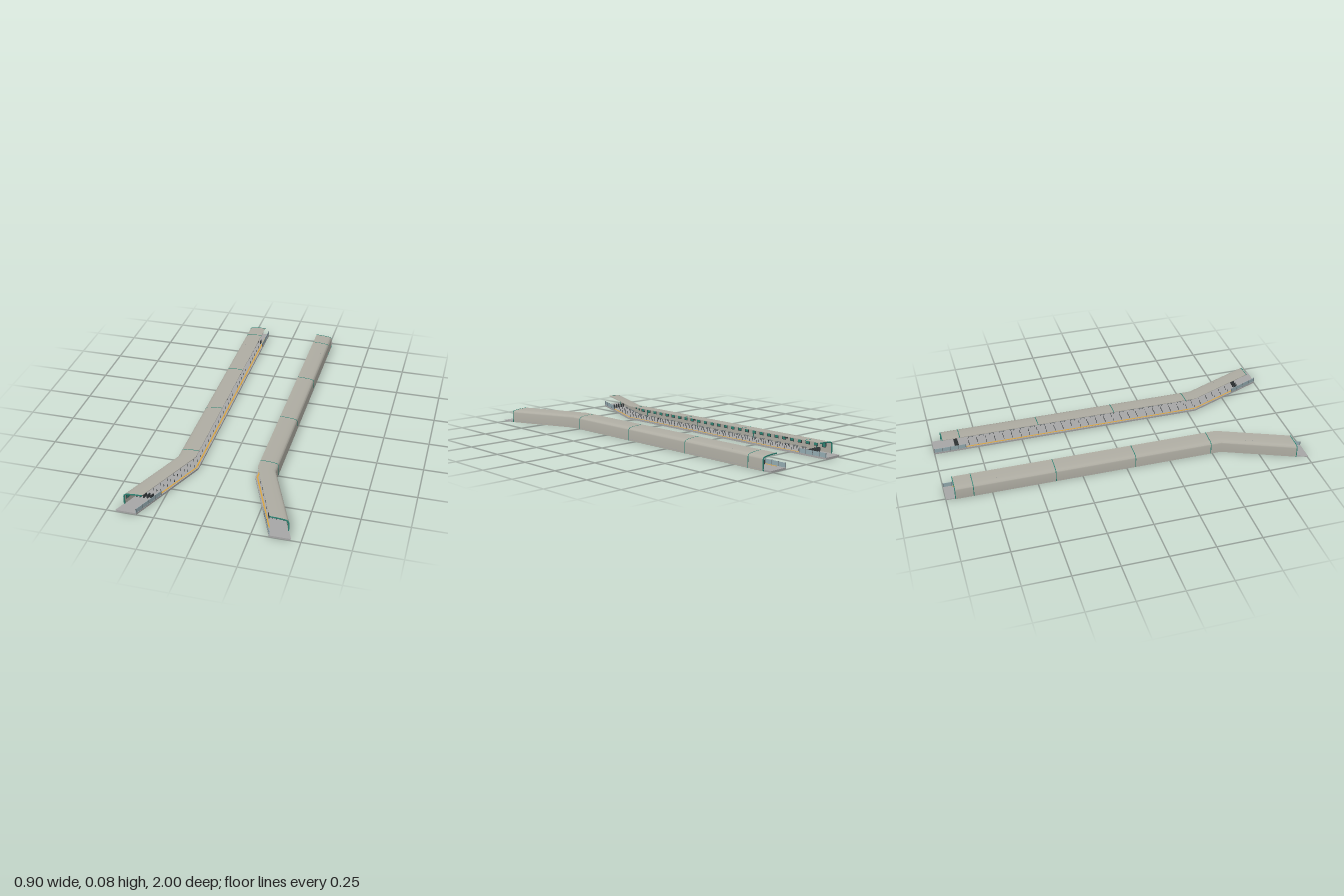
import * as THREE from 'three';
import { mergeGeometries, toCreasedNormals } from 'three/addons/utils/BufferGeometryUtils.js';

const KINK = 0.55, SLOPE = 0.411;
const COLORS = {
  concrete: 0xaeaca2, floor: 0xa6a6a6, teal: 0x2b8070, yellow: 0xd9a441,
  glass: 0x93aab0, dark: 0x33383a, steel: 0x6c7478,
};

const mat = (name, double = false) => new THREE.MeshStandardMaterial({
  color: COLORS[name], side: double ? THREE.DoubleSide : THREE.FrontSide,
});
// Sideways drift of the platform where it bends outwards
const drift = (z) => Math.max(0, z - KINK) * SLOPE;

// Follow the bend by moving every vertex sideways
function bend(geo, side) {
  const p = geo.attributes.position;
  for (let i = 0; i < p.count; i++) p.setX(i, p.getX(i) + side * drift(p.getZ(i)));
  return geo;
}

// Sweep a cross-section from z0 to z1 with a ring exactly at the kink
function sweep(points, z0, z1, side) {
  const shape = new THREE.Shape(points.map(([x, y]) => new THREE.Vector2(side * x, y)));
  const geo = new THREE.ExtrudeGeometry(shape, { depth: 1, steps: 2, bevelEnabled: false });
  const mid = z0 < KINK && z1 > KINK ? KINK : (z0 + z1) / 2;
  const p = geo.attributes.position;
  for (let i = 0; i < p.count; i++) {
    const t = p.getZ(i);
    p.setZ(i, t < 0.25 ? z0 : t < 0.75 ? mid : z1);
  }
  return toCreasedNormals(bend(geo, side), 0.5);
}

const rect = (x0, x1, y0, y1) => [[x0, y0], [x1, y0], [x1, y1], [x0, y1]];

function box(w, h, d, x, y, z, side) {
  const geo = new THREE.BoxGeometry(w, h, d).translate(side * x, y, z);
  bend(geo, side);
  geo.computeVertexNormals();
  return geo;
}

// Curved wall-and-roof section, grown outwards by g and inwards by thickness t
function canopySection(g, t) {
  const line = (o) => [
    [0.267 + o, 0.058], [0.2655 + o, 0.064], [0.2615 + o * 0.8, 0.069 + o * 0.6],
    [0.255 + o * 0.4, 0.072 + o], [0.24, 0.0745 + o], [0.205, 0.0775 + o], [0.169, 0.0785 + o],
  ];
  return [[0.267 + g, 0.001], ...line(g), ...line(-t).reverse(), [0.267 - t, 0.001]];
}

function platform(side) {
  const group = new THREE.Group();
  group.name = side > 0 ? 'leftPlatform' : 'rightPlatform';
  const add = (name, geo, color, double) => {
    const mesh = new THREE.Mesh(Array.isArray(geo) ? mergeGeometries(geo) : geo, mat(color, double));
    mesh.name = name;
    group.add(mesh);
  };

  // Slab with a thin lip along its outer edge
  add('slab', sweep([[0.156, 0], [0.26, 0], [0.26, 0.007], [0.267, 0.008], [0.267, 0.01], [0.156, 0.01]],
    -1, 1, side), 'floor');
  add('edgeStrip', sweep(rect(0.163, 0.171, 0.0095, 0.0108), -0.95, 0.94, side), 'yellow');

  // Canopy shell and its teal ribs and end frames
  add('canopy', sweep(canopySection(0, 0.003), -0.95, 0.94, side), 'concrete');
  add('canopyRibs', [-0.85, -0.4, 0.05, 0.49].map((z) =>
    sweep(canopySection(0.0004, 0.0045), z - 0.002, z + 0.002, side)), 'teal');
  add('canopyEndFrames', [-0.951, 0.937].map((z) =>
    sweep(canopySection(0.0006, 0.005), z, z + 0.004, side)), 'teal');

  // Low end screens along the track edge, with posts
  const screens = [], screenPosts = [];
  for (const [z0, z1] of [[-1, -0.82], [0.82, 1]]) {
    screens.push(sweep(rect(0.157, 0.159, 0.01, 0.034), z0, z1, side));
    for (let i = 0; i <= 4; i++) {
      const z = THREE.MathUtils.lerp(z0 + 0.002, z1 - 0.002, i / 4);
      screenPosts.push(box(0.003, 0.025, 0.003, 0.158, 0.0225, z, side));
    }
  }
  add('endScreens', screens, 'glass');
  add('endScreenPosts', screenPosts, 'steel');

  // Framed panels along the inside of the wall
  const frames = [], panes = [];
  for (let z = -0.9; z < 0.92; z += 0.055) {
    frames.push(box(0.002, 0.026, 0.027, 0.2635, 0.047, z, side));
    panes.push(box(0.002, 0.02, 0.021, 0.2628, 0.047, z, side));
  }
  add('wallPanelFrames', frames, 'dark');
  add('wallPanels', panes, 'teal');

  // Benches with two legs
  const seats = [], legs = [];
  for (let z = -0.78; z < 0.8; z += 0.06) {
    seats.push(box(0.01, 0.002, 0.032, 0.247, 0.02, z, side));
    for (const dz of [-0.011, 0.011]) legs.push(box(0.003, 0.01, 0.002, 0.247, 0.015, z + dz, side));
  }
  add('benchSeats', seats, 'steel');
  add('benchLegs', legs, 'dark');

  // Rows of slim standing posts
  const posts = [];
  for (let z = -0.8; z < 0.82; z += 0.05) {
    for (const x of [0.178, 0.198, 0.218]) posts.push(box(0.002, 0.015, 0.002, x, 0.0175, z, side));
  }
  add('platformPosts', posts, 'dark');

  // Gates across both ends
  const gates = [];
  for (const z of [-0.87, 0.86]) {
    for (let i = 0; i < 5; i++) gates.push(box(0.004, 0.022, 0.022, 0.178 + i * 0.019, 0.021, z, side));
  }
  add('gates', gates, 'dark');

  // Signs hanging from the roof
  const signs = [], hangers = [];
  for (const z of [-0.7, 0, 0.7]) {
    signs.push(box(0.024, 0.009, 0.05, 0.24, 0.064, z, side));
    signs.push(box(0.003, 0.01, 0.02, 0.193, 0.067, z, side));
    for (const dz of [-0.018, 0.018]) hangers.push(box(0.002, 0.007, 0.002, 0.24, 0.071, z + dz, side));
    hangers.push(box(0.001, 0.005, 0.001, 0.193, 0.0735, z, side));
  }
  add('hangingSigns', signs, 'dark');
  add('signHangers', hangers, 'steel');
  return group;
}

export function createModel() {
  const model = new THREE.Group();
  model.name = 'stationPlatforms';
  for (const side of [1, -1]) model.add(platform(side));
  return model;
}
